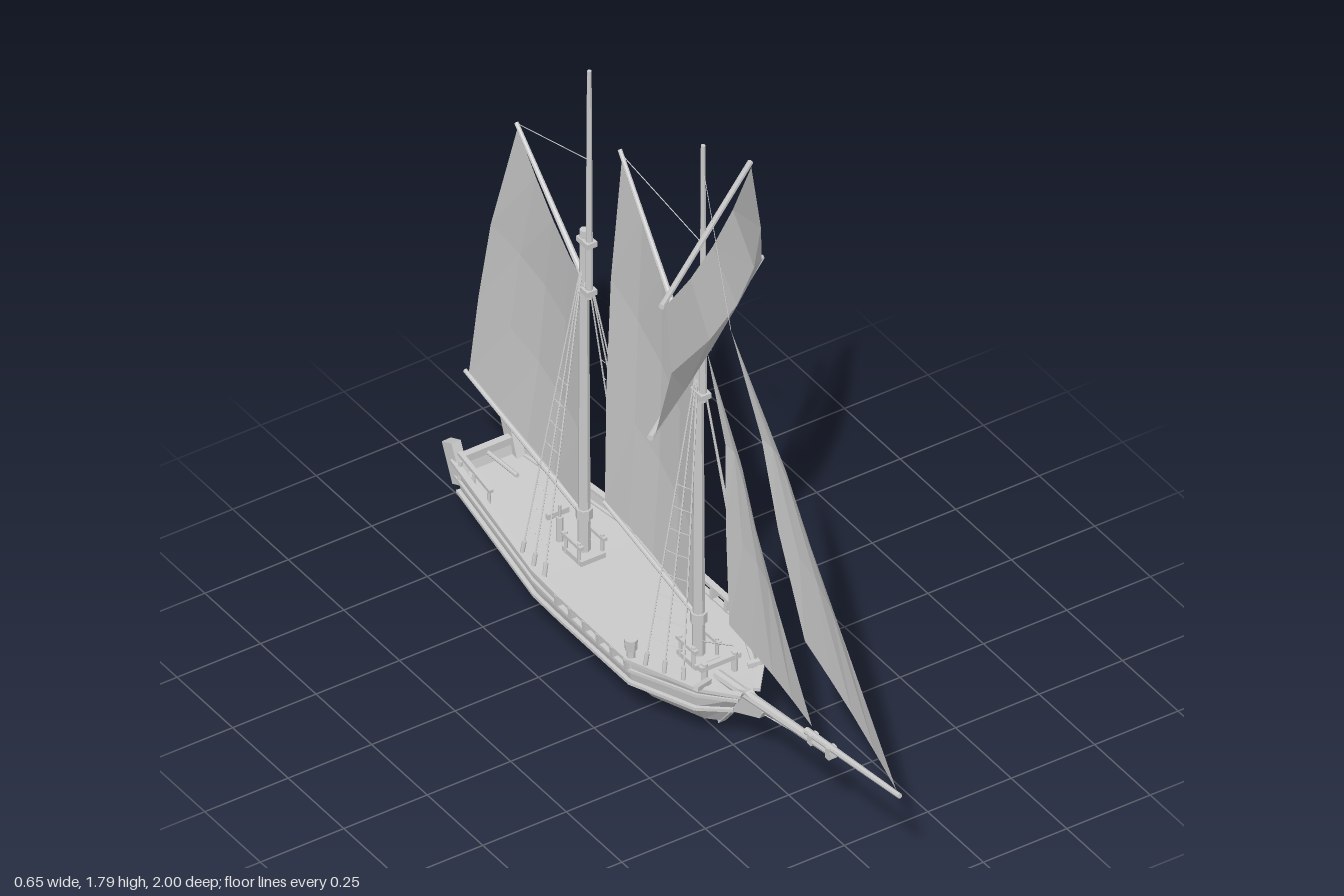
import * as THREE from 'three';

const solid = new THREE.MeshStandardMaterial({ color: 0xcccccc, flatShading: true });
const thin = new THREE.MeshStandardMaterial({ color: 0xcccccc, flatShading: true, side: THREE.DoubleSide });
const V = (p) => new THREE.Vector3(...p);
const mix = (a, b, t) => a.map((v, i) => v + (b[i] - v) * t);
const flip = (row) => row.map(([x, y, z]) => [-x, y, z]);

export function createModel() {
  const ship = new THREE.Group();
  ship.name = 'schooner';

  const add = (name, geo, mat = solid, parent = ship) => {
    const m = new THREE.Mesh(geo, mat);
    m.name = name;
    parent.add(m);
    return m;
  };
  // Round spar or rope between two points
  const rod = (name, a, b, r, r2 = r, sides = 8, parent = ship) => {
    const d = V(b).sub(V(a));
    const m = add(name, new THREE.CylinderGeometry(r2, r, d.length(), sides), solid, parent);
    m.position.copy(V(a)).addScaledVector(d, 0.5);
    m.quaternion.setFromUnitVectors(new THREE.Vector3(0, 1, 0), d.normalize());
    return m;
  };
  const rope = (name, a, b, r = 0.0015) => rod(name, a, b, r, r, 4);
  // Square timber between two points
  const beam = (name, a, b, w, h) => {
    const m = add(name, new THREE.BoxGeometry(w, h, V(a).distanceTo(V(b)) + w * 0.4));
    m.position.copy(V(mix(a, b, 0.5)));
    m.lookAt(V(b));
  };
  const box = (name, w, h, d, x, y, z) =>
    add(name, new THREE.BoxGeometry(w, h, d)).position.set(x, y, z);
  // Surface through rows of points
  const loft = (name, rows) => {
    const n = rows[0].length, index = [];
    for (let i = 0; i < rows.length - 1; i++)
      for (let j = 0; j < n - 1; j++) {
        const a = i * n + j, b = a + n;
        index.push(a, b, a + 1, b, b + 1, a + 1);
      }
    const g = new THREE.BufferGeometry();
    g.setAttribute('position', new THREE.Float32BufferAttribute(rows.flat(2), 3));
    g.setIndex(index);
    g.computeVertexNormals();
    return add(name, g, thin);
  };

  // Hull lines from bow to stern
  const keel = [[0, 0.055, 0.2], [0, 0.045, 0.17], [0, 0.012, 0.03], [0, 0.01, -0.28], [0, 0.012, -0.4], [0, 0.06, -0.84]];
  const chine = [[0.01, 0.065, 0.21], [0.04, 0.065, 0.18], [0.095, 0.062, 0.03], [0.1, 0.06, -0.28], [0.1, 0.06, -0.4], [0.045, 0.075, -0.84]];
  const wale = [[0.015, 0.14, 0.265], [0.085, 0.14, 0.21], [0.16, 0.14, 0.035], [0.158, 0.137, -0.28], [0.155, 0.137, -0.4], [0.085, 0.148, -0.845]];
  const sheer = [[0.02, 0.19, 0.3], [0.09, 0.187, 0.22], [0.17, 0.183, 0.035], [0.168, 0.182, -0.28], [0.162, 0.182, -0.4], [0.094, 0.195, -0.85]];
  const rail = [[0.025, 0.218, 0.32], [0.095, 0.217, 0.235], [0.173, 0.215, 0.035], [0.17, 0.215, -0.28], [0.165, 0.216, -0.4], [0.098, 0.238, -0.86]];
  loft('deck', [sheer, flip(sheer)]);
  const stern = [keel, chine, wale, sheer, rail].map((r) => r[5]);
  loft('transom', [stern, flip(stern)]);
  const bow = [keel, chine, wale, sheer, rail].map((r) => r[0]);
  loft('bowFace', [bow, flip(bow)]);

  for (const s of [1, -1]) {
    const side = (row) => (s > 0 ? row : flip(row));
    loft('hullSide', [keel, chine, wale, sheer].map(side));
    const lo = side(sheer), hi = side(rail);
    loft('foreBulwark', [lo.slice(0, 3), hi.slice(0, 3)]);
    loft('aftBulwark', [lo.slice(3), hi.slice(3)]);
    // Open waist with stanchions
    for (let i = 0; i <= 5; i++)
      beam('stanchion', mix(lo[2], lo[3], i / 5), mix(hi[2], hi[3], i / 5), 0.013, 0.02);
    // Rail and rubbing strakes
    for (let i = 0; i < 5; i++) {
      beam('capRail', hi[i], hi[i + 1], 0.017, 0.01);
      beam('upperWale', lo[i], lo[i + 1], 0.016, 0.009);
      beam('lowerWale', side(wale)[i], side(wale)[i + 1], 0.024, 0.009);
    }
    // Flared stern post, quarter rail and bollards
    beam('sternPost', [s * 0.085, 0.18, -0.845], [s * 0.087, 0.275, -0.885], 0.028, 0.045);
    beam('quarterRail', [s * 0.1, 0.252, -0.69], [s * 0.085, 0.262, -0.85], 0.012, 0.01);
    for (const z of [-0.7, -0.77, -0.83]) rod('railPost', [s * 0.1, 0.2, z], [s * 0.097, 0.255, z], 0.005);
    rod('bollard', [s * 0.163, 0.19, 0.035], [s * 0.163, 0.25, 0.035], 0.011);
    rod('bollardCap', [s * 0.163, 0.243, 0.035], [s * 0.163, 0.275, 0.035], 0.016, 0.018);
    rod('bitt', [s * 0.045, 0.185, 0.19], [s * 0.045, 0.245, 0.19], 0.008);
    beam('cathead', [s * 0.06, 0.222, 0.23], [s * 0.11, 0.232, 0.25], 0.014, 0.014);
  }
  box('sternBeam', 0.18, 0.022, 0.02, 0, 0.235, -0.862);
  box('bittBeam', 0.12, 0.014, 0.014, 0, 0.232, 0.19);

  // Stem knee under the bowsprit
  const knee = new THREE.Shape([[0.4, 0.207], [0.385, 0.182], [0.26, 0.125], [0.2, 0.05], [0.19, 0.07], [0.25, 0.2], [0.32, 0.222]]
    .map(([z, y]) => new THREE.Vector2(-z, y)));
  const stem = add('stemKnee', new THREE.ExtrudeGeometry(knee, { depth: 0.022, bevelEnabled: false }));
  stem.rotation.y = Math.PI / 2;
  stem.position.x = -0.011;

  // Bowsprit and jib boom
  rod('bowsprit', [0, 0.185, 0.18], [0, 0.265, 0.7], 0.015, 0.011);
  rod('jibBoom', [0, 0.262, 0.58], [0, 0.322, 1], 0.01, 0.007);
  box('bowspritCap', 0.025, 0.035, 0.016, 0, 0.265, 0.69);
  box('bowspritSaddle', 0.025, 0.03, 0.016, 0, 0.257, 0.61);
  rope('bobstay', [0, 0.19, 0.38], [0, 0.262, 0.7], 0.002);

  // Masts with topmasts, tops, fife rails and shrouds
  const mast = (name, z, topZ, topY, fan) => {
    rod(name + 'LowerMast', [0, 0.18, z], [0, 1.2, z], 0.017, 0.012);
    rod(name + 'Topmast', [0, 1, topZ], [0, topY, topZ], 0.01, 0.006);
    for (const y of [1.02, 1.17]) box(name + 'MastCap', 0.03, 0.016, 0.05, 0, y, (z + topZ) / 2);
    box(name + 'MastStep', 0.075, 0.015, 0.085, 0, 0.192, z);
    for (const x of [-0.035, 0.035]) {
      for (const d of [-0.03, 0.03]) rod('fifePost', [x, 0.185, z + d], [x, 0.25, z + d], 0.005);
      box('fifeRail', 0.012, 0.01, 0.085, x, 0.24, z);
    }
    rod(name + 'MastHoop', [0, 0.3, z], [0, 0.33, z], 0.022);
    for (const s of [1, -1]) {
      const foot = fan.map(([x, fz]) => [s * x, 0.21, fz]);
      const head = [0, 1.13, z];
      foot.forEach((f) => {
        rope('shroud', f, head, 0.0025);
        rod('deadeye', f, mix(f, head, 0.05), 0.006);
      });
      for (let t = 0.1; t < 0.6; t += 0.07)
        for (let i = 0; i < foot.length - 1; i++)
          rope('ratline', mix(foot[i], head, t), mix(foot[i + 1], head, t), 0.001);
    }
  };
  mast('fore', 0.095, 0.115, 1.8, [[0.11, 0.19], [0.135, 0.14], [0.155, 0.085]]);
  mast('main', -0.42, -0.397, 1.71, [[0.16, -0.36], [0.16, -0.41], [0.155, -0.47]]);

  // Fore-and-aft sail: luff and leech are [z, y] from foot to head, bellied to the left
  const sail = (name, luff, leech, swing, belly, sag = 0) => {
    const last = luff.length - 1;
    loft(name, luff.map((p, i) => Array.from({ length: 5 }, (_, j) => {
      const u = j / 4, v = i / last;
      const [z, y] = mix(p, leech[i], u);
      const x = swing * u + belly * Math.sin(Math.PI * u) * (0.3 + 0.7 * Math.sin(Math.PI * v));
      return [i === last && luff[i][0] === leech[i][0] ? 0 : x, y - (i === last ? sag * Math.sin(Math.PI * u) : 0), z];
    })));
  };
  sail('foreSail', [[0.08, 0.32], [0.075, 0.55], [0.075, 0.8], [0.08, 1.06]],
    [[-0.372, 0.368], [-0.365, 0.72], [-0.345, 1.08], [-0.295, 1.49]], 0.03, 0.03, 0.03);
  sail('mainSail', [[-0.44, 0.31], [-0.435, 0.55], [-0.43, 0.8], [-0.425, 1.03]],
    [[-0.985, 0.375], [-0.94, 0.65], [-0.885, 0.91], [-0.765, 1.285]], 0.03, 0.03, 0.05);
  sail('outerJib', [[0.985, 0.33], [0.745, 0.655], [0.5, 0.98], [0.24, 1.3]],
    [[0.52, 0.49], [0.4, 0.76], [0.325, 1], [0.24, 1.3]], 0.035, 0.02);
  sail('innerJib', [[0.605, 0.29], [0.445, 0.57], [0.295, 0.86], [0.13, 1.17]],
    [[0.18, 0.325], [0.165, 0.62], [0.162, 0.88], [0.13, 1.17]], 0.035, 0.02);

  // Gaffs, booms and running lines
  rod('foreGaff', [0, 1.06, 0.09], [0.03, 1.51, -0.305], 0.009, 0.006);
  rod('foreBoom', [0, 0.31, 0.1], [0.03, 0.362, -0.375], 0.008, 0.006);
  rod('mainGaff', [0, 1.03, -0.405], [0.03, 1.3, -0.77], 0.009, 0.006);
  rod('mainBoom', [0, 0.305, -0.42], [0.028, 0.382, -0.997], 0.009, 0.006);
  rope('forePeakHalyard', [0, 1.49, 0.115], [0.03, 1.5, -0.3]);
  rope('mainPeakHalyard', [0, 1.43, -0.397], [0.03, 1.3, -0.765]);
  rope('outerStay', [0, 1.3, 0.24], [0, 1.73, 0.115], 0.001);
  rope('forestay', [0, 0.32, 0.25], [0, 0.24, 0.1], 0.002);

  // Square topsail, braced round on its yards
  const topsail = new THREE.Group();
  topsail.name = 'squareTopsail';
  topsail.position.set(0, 0, 0.127);
  topsail.rotation.y = 0.628;
  ship.add(topsail);
  rod('upperYard', [-0.318, 1.528, 0], [0.318, 1.528, 0], 0.008, 0.008, 8, topsail);
  rod('lowerYard', [-0.398, 1.175, 0], [0.398, 1.175, 0], 0.009, 0.009, 8, topsail);
  const rows = [[0.38, 1.18, 0.01], [0.32, 1.33, 0.055], [0.305, 1.525, 0.01]];
  topsail.add(loft('topsailCloth', rows.map(([w, y, out], i) => [-1, -0.5, 0, 0.5, 1].map((u) =>
    [w * u, y - (i === 2 ? 0.03 * (1 - u * u) : 0), 0.008 + out * (1 - u * u) + (i === 1 ? 0.02 : 0)]))));

  // Pump abaft the main mast and small deck fittings
  rod('pump', [-0.02, 0.185, -0.5], [-0.02, 0.26, -0.5], 0.01);
  beam('pumpHandle', [-0.05, 0.265, -0.51], [0.01, 0.265, -0.51], 0.012, 0.016);
  rod('pumpSpindle', [-0.02, 0.25, -0.5], [-0.02, 0.295, -0.5], 0.004);
  rod('tiller', [0, 0.23, -0.85], [0, 0.24, -0.72], 0.006);

  return ship;
}
